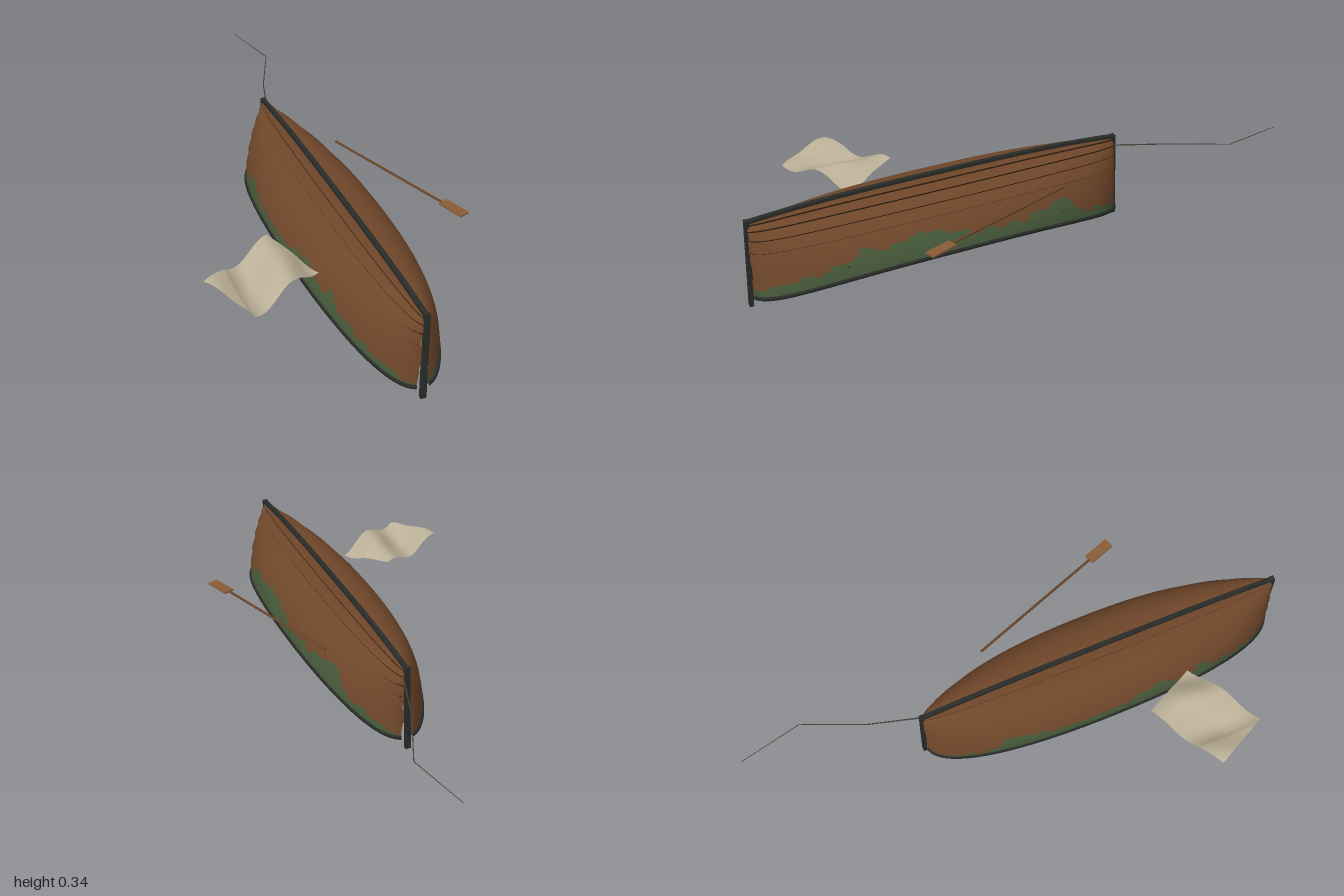
import * as THREE from 'three';

const mat = (name, color, side = THREE.FrontSide) => {
  const m = new THREE.MeshStandardMaterial({ color, side });
  m.name = name;
  return m;
};

// Overturned hull: centre line, half length, half beam
const CX = 0.072, CZ = 0.305, HALF = 0.68, BEAM = 0.183;
const STRAKES = 7;
const beam = t => BEAM * Math.sqrt(Math.max(0, 1 - Math.abs(t) ** 2.3));
const sheerY = t => 0.13 - 0.09 * Math.abs(t) ** 2.5;
const keelY = t => 0.327 - 0.022 * Math.abs(t) ** 3;

// Point on the hull: t runs stern to bow, a runs keel (0) to gunwale (1)
function hullPoint(t, a, side, out = 0) {
  const phi = a * Math.PI / 2, y0 = sheerY(t);
  return new THREE.Vector3(
    CX + side * (beam(t) + out) * Math.sin(phi),
    y0 + (keelY(t) - y0 + out) * Math.cos(phi),
    CZ + HALF * t);
}

// Grid surface from a point rule; pick(point) chooses a material index per cell
function gridSurface(nu, nv, point, pick) {
  const pos = [], cells = [[], []];
  for (let i = 0; i <= nu; i++)
    for (let j = 0; j <= nv; j++) pos.push(...point(i / nu, j / nv).toArray());
  for (let i = 0; i < nu; i++)
    for (let j = 0; j < nv; j++) {
      const a = i * (nv + 1) + j, b = a + nv + 1;
      const k = pick ? pick(point((i + 0.5) / nu, (j + 0.5) / nv)) : 0;
      cells[k].push(a, b, a + 1, b, b + 1, a + 1);
    }
  const g = new THREE.BufferGeometry();
  g.setAttribute('position', new THREE.Float32BufferAttribute(pos, 3));
  g.setIndex([...cells[0], ...cells[1]]);
  g.addGroup(0, cells[0].length, 0);
  g.addGroup(cells[0].length, cells[1].length, 1);
  g.computeVertexNormals();
  return g;
}

// Upper limit of the worn paint along the hull: [z, y]
const PAINT = [[-0.38, 0.05], [-0.28, 0.1], [-0.16, 0.13], [-0.12, 0.2], [-0.04, 0.195],
  [0.1, 0.175], [0.3, 0.19], [0.45, 0.222], [0.52, 0.205], [0.58, 0.185], [0.63, 0.21],
  [0.7, 0.17], [0.8, 0.135], [0.9, 0.11], [1, 0.07]];
function paintTop(z) {
  const i = Math.max(1, PAINT.findIndex(p => p[0] >= z));
  const [z0, y0] = PAINT[i - 1], [z1, y1] = PAINT[i];
  return y0 + (y1 - y0) * (z - z0) / (z1 - z0);
}

// Cylinder between two points
function rod(a, b, r0, r1, sides, material) {
  const d = b.clone().sub(a);
  const m = new THREE.Mesh(new THREE.CylinderGeometry(r1, r0, d.length(), sides), material);
  m.position.copy(a).addScaledVector(d, 0.5);
  m.quaternion.setFromUnitVectors(new THREE.Vector3(0, 1, 0), d.normalize());
  return m;
}

export function createModel() {
  const model = new THREE.Group();
  const wood = mat('hull wood', 0x70472a, THREE.DoubleSide);
  const paint = mat('worn green paint', 0x465a3a, THREE.DoubleSide);
  const seam = mat('dark seam', 0x3a2616, THREE.DoubleSide);
  const tar = mat('tarred timber', 0x2a2c29);
  const bench = mat('bench wood', 0x4a3322);
  const shaftWood = mat('oar shaft wood', 0x6a4527);
  const bladeWood = mat('oar blade wood', 0x8a5c36);
  const canvas = mat('canvas', 0xbdb198, THREE.DoubleSide);
  const ropeMat = mat('rope', 0x4a4438);
  const add = (name, geometry, material, parent = model) => {
    const m = new THREE.Mesh(geometry, material);
    m.name = name;
    parent.add(m);
    return m;
  };

  // Lapped strakes, each with outer face, inner face and dark lower edge
  const hull = new THREE.Group();
  hull.name = 'hull';
  model.add(hull);
  for (const side of [-1, 1])
    for (let k = 0; k < STRAKES; k++) {
      const wear = e => 0.001 + 0.005 * (0.5 + 0.5 * Math.sin(k * 2.4 + side + e * 1.7));
      const t = u => {
        const s = Math.sin((u - 0.5) * Math.PI);
        return s * (1 - wear(Math.sign(s)));
      };
      const a = v => (k + v) / STRAKES;
      const lap = v => 0.007 * v;
      add('strake', gridSurface(90, 4, (u, v) => hullPoint(t(u), a(v), side, lap(v)),
        p => p.y < paintTop(p.z) - (side < 0 ? 0.015 : 0) + 0.006 * Math.sin(p.z * 70) ? 1 : 0),
        [wood, paint], hull);
      add('strakeInside', gridSurface(60, 3, (u, v) => hullPoint(t(u), a(v), side, lap(v) - 0.008), null),
        wood, hull);
      add('strakeEdge', gridSurface(60, 1, (u, v) => hullPoint(t(u), a(1), side, 0.007 - 0.012 * v), null),
        seam, hull);
    }

  // Gunwale rails
  for (const side of [-1, 1]) {
    const pts = [];
    for (let i = 0; i <= 40; i++)
      pts.push(hullPoint(0.997 * Math.sin((i / 40 - 0.5) * Math.PI), 1, side, 0.004));
    add('gunwale', new THREE.TubeGeometry(new THREE.CatmullRomCurve3(pts), 90, 0.0085, 6), tar);
  }

  // Keel, extruded across the centre line
  const edge = off => Array.from({ length: 25 }, (_, i) => {
    const t = i / 12 - 1;
    return new THREE.Vector2(-(CZ + HALF * t), keelY(t) + off);
  });
  const keelShape = new THREE.Shape([...edge(0.013), ...edge(-0.008).reverse()]);
  const keel = add('keel', new THREE.ExtrudeGeometry(keelShape, { depth: 0.016, bevelEnabled: false }), tar);
  keel.rotation.y = Math.PI / 2;
  keel.position.x = CX - 0.008;

  // Stem and stern posts, leaning slightly outward toward the ground
  for (const end of [-1, 1]) {
    const post = add(end > 0 ? 'bowPost' : 'sternPost', new THREE.BoxGeometry(0.019, 0.32, 0.014), tar);
    post.position.set(CX, 0.16, CZ + end * 0.682);
    post.rotation.x = -end * 0.04;
  }

  // Thwarts inside the hull
  for (const t of [-0.55, 0, 0.55]) {
    const y = sheerY(t) + 0.045;
    const h = (y - sheerY(t)) / (keelY(t) - sheerY(t));
    const w = 2 * beam(t) * Math.sqrt(1 - h * h) - 0.004;
    add('thwart', new THREE.BoxGeometry(w, 0.012, 0.055), bench).position.set(CX, y, CZ + HALF * t);
  }

  // Oar
  const oar = new THREE.Group();
  oar.name = 'oar';
  const grip = new THREE.Vector3(0.242, 0.262, -0.08), neck = new THREE.Vector3(0.418, 0.27, 0.42);
  const shaft = rod(grip, neck, 0.0045, 0.0045, 8, shaftWood);
  shaft.name = 'oarShaft';
  oar.add(shaft);
  const blade = add('oarBlade', new THREE.BoxGeometry(0.038, 0.006, 0.1), bladeWood, oar);
  blade.position.set(0.436, 0.271, 0.465);
  blade.rotation.y = Math.atan2(0.176, 0.5);
  model.add(oar);

  // Drifting canvas sheet with one rolling wave
  add('canvasSheet', gridSurface(28, 18, (u, v) => {
    const p = (u - 0.5) * 0.31, q = (v - 0.5) * 0.22;
    const ripple = 0.004 * Math.sin(v * Math.PI * 2.5 + u * 4);
    const x = -0.287 + 0.872 * p + 0.46 * q, z = 0.55 - 0.49 * p + 0.888 * q;
    const fade = x < -0.38 ? 0.6 : 1;
    const y = 0.256 + 0.024 * fade * Math.cos((x + 0.22) * 27) + ripple;
    return new THREE.Vector3(x, y, z);
  }, null), canvas);

  // Mooring line trailing from the stern
  const line = [[0.085, 0.283, -0.37], [0.14, 0.271, -0.55], [0.236, 0.263, -0.77], [0.187, 0.259, -1]]
    .map(p => new THREE.Vector3(...p));
  for (let i = 0; i < 3; i++) {
    const seg = rod(line[i], line[i + 1], 0.0026 - i * 0.0005, 0.0021 - i * 0.0005, 6, ropeMat);
    seg.name = 'mooringLine';
    model.add(seg);
  }
  return model;
}
